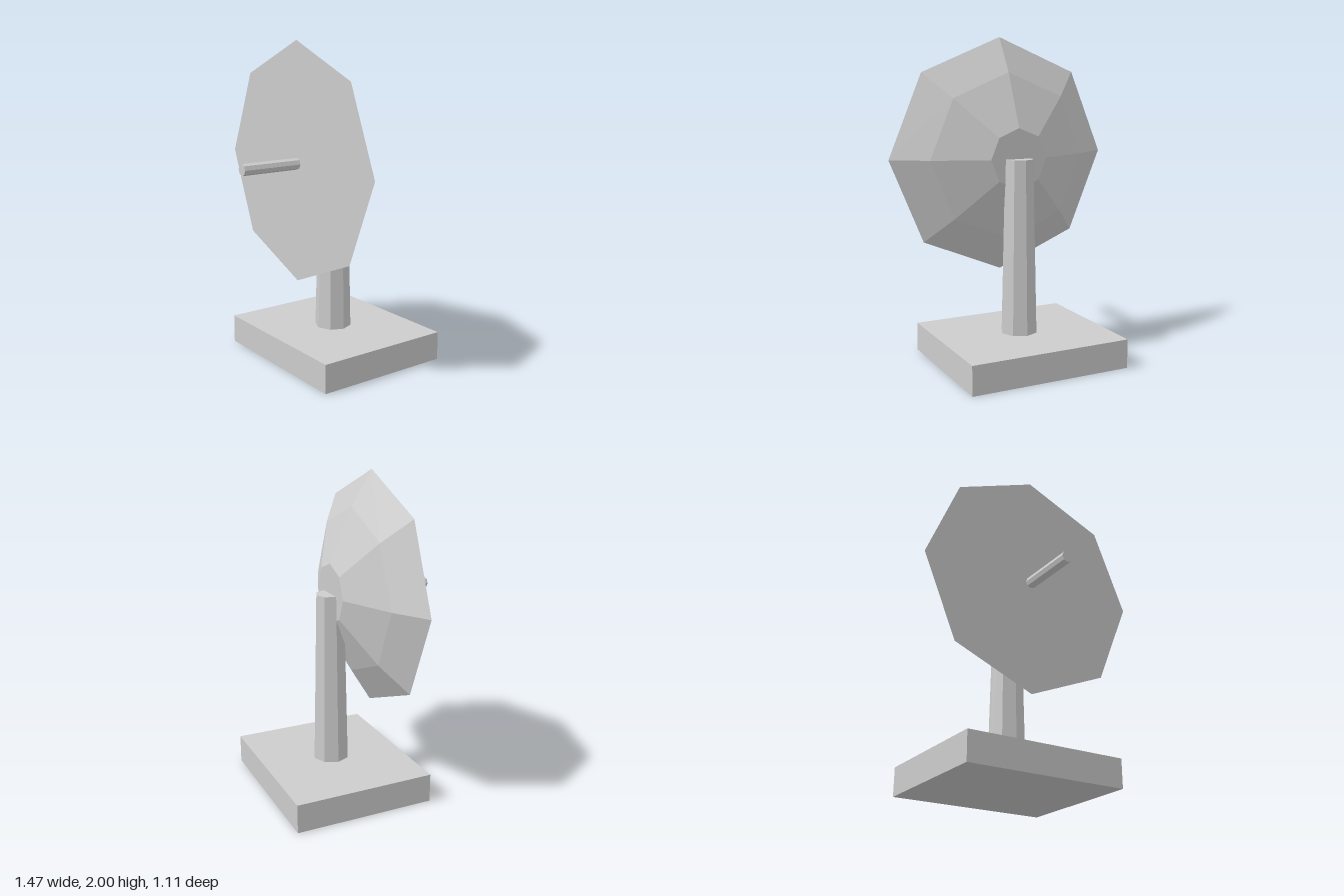
import * as THREE from 'three';

const SIDES = 8;
const AXIS_Y = 1.263; // height of the dish centre
const BACK_Z = -0.11; // plane of the post axis and the dish back

// Gives every face its own flat normal
function faceted(geometry) {
  const flat = geometry.toNonIndexed();
  flat.computeVertexNormals();
  return flat;
}

export function createModel() {
  const model = new THREE.Group();
  model.name = 'dishAntenna';

  const grey = new THREE.MeshStandardMaterial({ color: 0xcccccc });
  grey.name = 'light grey';

  function addPart(name, geometry, x, y, z) {
    const mesh = new THREE.Mesh(faceted(geometry), grey);
    mesh.name = name;
    mesh.position.set(x, y, z);
    model.add(mesh);
    return mesh;
  }

  // Slab base
  addPart('base', new THREE.BoxGeometry(1.03, 0.18, 0.885), 0, 0.09, -0.1125);

  // Tapered octagonal post
  const postBottom = 0.18;
  const postHeight = AXIS_Y - postBottom;
  addPart('post', new THREE.CylinderGeometry(0.09, 0.115, postHeight, SIDES),
    0, postBottom + postHeight / 2, BACK_Z);

  // Closed octagonal dish, from its small flat back to its wide flat front
  const profile = [
    [0, BACK_Z], [0.187, BACK_Z], [0.521, 0.035], [0.737, 0.167], [0, 0.167],
  ].map(([r, z]) => new THREE.Vector2(r, z));
  const dish = addPart('dish', new THREE.LatheGeometry(profile, SIDES), 0, AXIS_Y, 0);
  dish.rotation.x = Math.PI / 2;

  // Feed rod pointing forward from the dish centre
  const rodBack = 0.15;
  const rodFront = 0.555;
  const rod = addPart('feedRod',
    new THREE.CylinderGeometry(0.036, 0.036, rodFront - rodBack, SIDES),
    0, AXIS_Y, (rodBack + rodFront) / 2);
  rod.rotation.x = Math.PI / 2;

  return model;
}
